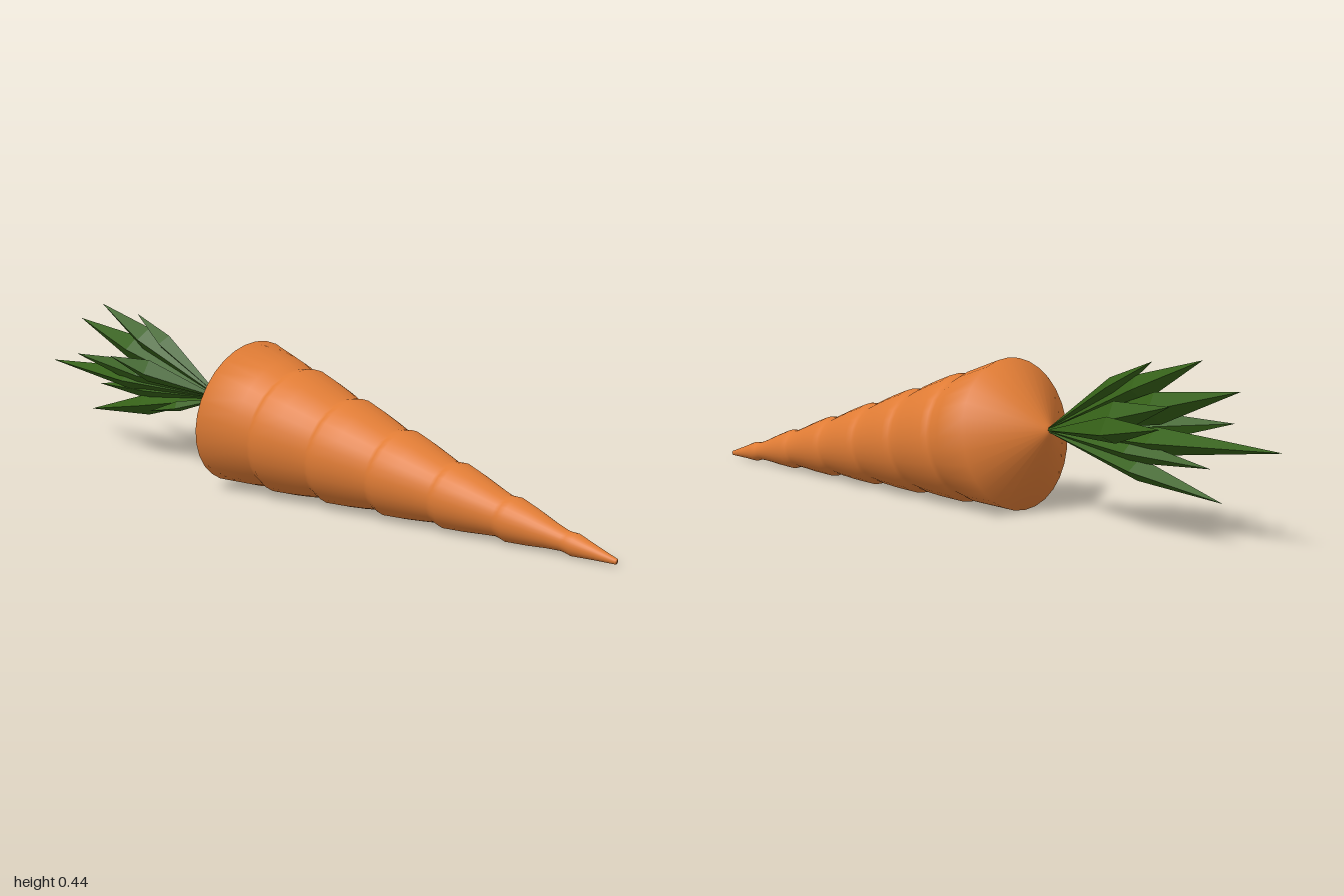
import * as THREE from 'three';

const orange = new THREE.MeshStandardMaterial({ color: 0xe07c35 });
const green = new THREE.MeshStandardMaterial({ color: 0x356018, flatShading: true, side: THREE.DoubleSide });

const UP = new THREE.Vector3(0, 1, 0);
const TIP = new THREE.Vector3(0, 0.01, 1);
const SHOULDER = new THREE.Vector3(0, 0.2, -0.18);
const CROWN = new THREE.Vector3(0, 0.22, -0.28);

// Ringed root: a lathe profile running from the tip to the crown
function createRoot() {
  const length = TIP.distanceTo(SHOULDER);
  const radius = (s) => 0.007 + (0.193 * s) / length;
  const profile = [[0, 0], [0.007, 0]];
  for (let k = 0; k < 6; k++) {
    const s = 0.145 + 0.179 * k;
    const depth = 0.004 + 0.0013 * k;
    profile.push(
      [radius(s - 0.085) + 0.001, s - 0.085],
      [radius(s - 0.03) + 0.003, s - 0.03],
      [radius(s - 0.012) - depth * 0.5, s - 0.012],
      [radius(s) - depth, s],
      [radius(s + 0.04) - 0.003, s + 0.04]
    );
  }
  profile.push([0.2, length], [0.018, length + 0.112], [0, length + 0.116]);
  const geometry = new THREE.LatheGeometry(profile.map(([r, s]) => new THREE.Vector2(r, s)), 30);
  const root = new THREE.Mesh(geometry, orange);
  root.name = 'root';
  root.position.copy(TIP);
  root.quaternion.setFromUnitVectors(UP, SHOULDER.clone().sub(TIP).normalize());
  return root;
}

// Faceted leaf: a four-sided spindle, widest past its middle
function createLeaf([x, y, z, halfHeight, halfWidth, belly = 0.6]) {
  const end = new THREE.Vector3(x, y, z);
  const length = end.distanceTo(CROWN);
  const geometry = new THREE.LatheGeometry(
    [[0.006, 0], [1, length * belly], [0, length]].map(([r, s]) => new THREE.Vector2(r, s)), 4);
  geometry.scale(halfWidth, 1, halfHeight);
  const leaf = new THREE.Mesh(geometry, green);
  leaf.name = 'leaf';
  leaf.position.copy(CROWN);
  leaf.quaternion.setFromUnitVectors(UP, end.sub(CROWN).normalize());
  return leaf;
}

export function createModel() {
  const group = new THREE.Group();
  group.name = 'carrot';
  group.add(createRoot());

  // Leaves: tip x, y, z, half height, half width, position of widest point
  const leaves = new THREE.Group();
  leaves.name = 'leaves';
  [
    [0, 0.245, -1, 0.035, 0.05, 0.5],
    [0, 0.44, -0.77, 0.035, 0.035, 0.62],
    [0, 0.425, -0.62, 0.025, 0.03, 0.65],
    [0.03, 0.38, -0.9, 0.04, 0.035, 0.6],
    [0.15, 0.29, -0.76, 0.035, 0.035, 0.6],
    [0.06, 0.33, -0.72, 0.04, 0.035, 0.6],
    [-0.09, 0.31, -0.64, 0.035, 0.025, 0.65],
    [-0.05, 0.29, -0.83, 0.04, 0.025, 0.55],
    [0.02, 0.11, -0.85, 0.03, 0.04, 0.55],
    [-0.05, 0.16, -0.52, 0.015, 0.02, 0.6],
    [0.03, 0.19, -0.82, 0.03, 0.035, 0.55],
  ].forEach((spec) => leaves.add(createLeaf(spec)));
  group.add(leaves);
  return group;
}
